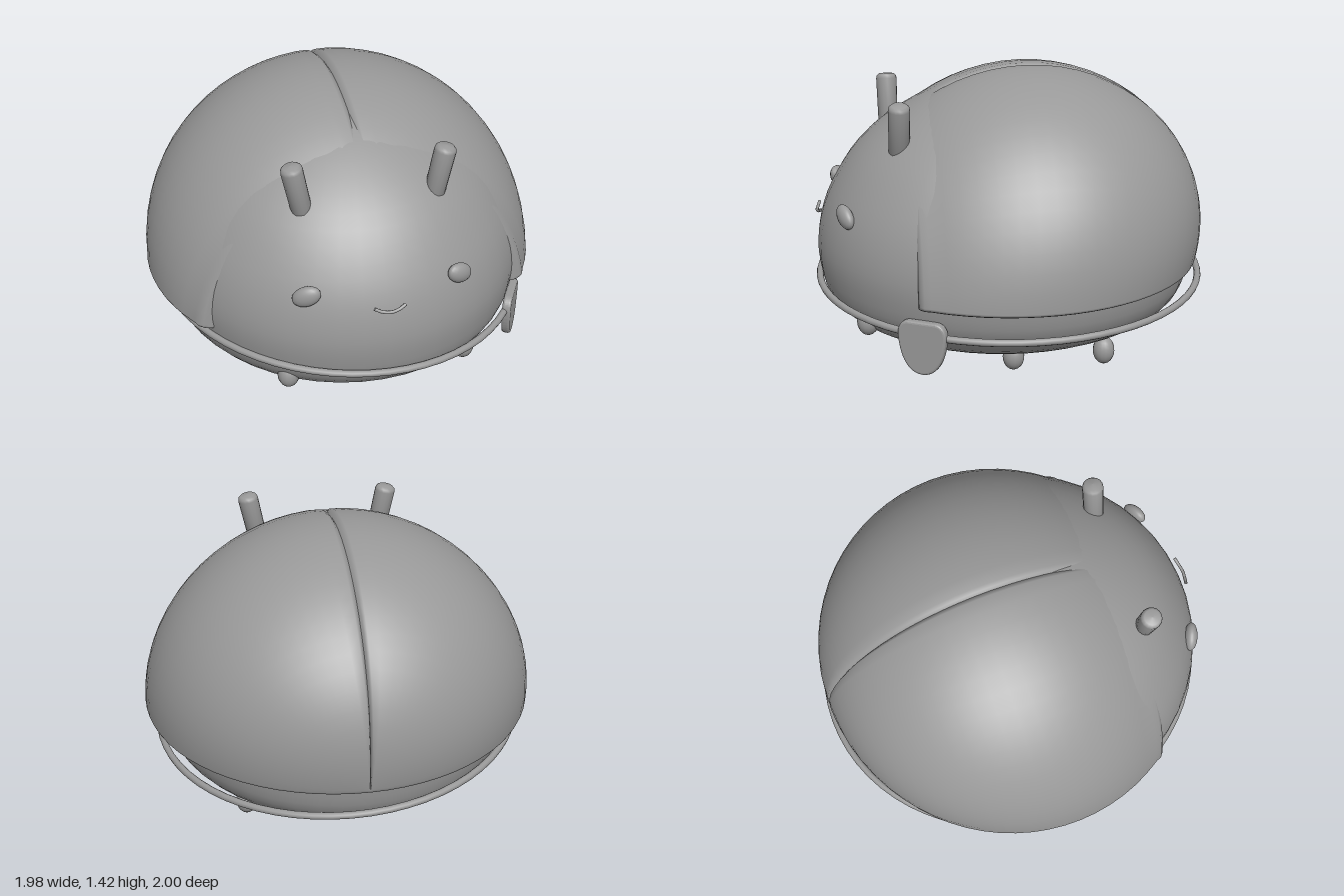
import * as THREE from 'three';

const grey = new THREE.MeshStandardMaterial({ color: 0x999999, side: THREE.DoubleSide });
grey.name = 'grey';

function part(parent, name, geometry, x = 0, y = 0, z = 0) {
  const mesh = new THREE.Mesh(geometry, grey);
  mesh.name = name;
  mesh.position.set(x, y, z);
  parent.add(mesh);
  return mesh;
}

// One wing case: domed quarter-shell leaning back, cut flat at the front and bottom
function wingCaseGeometry() {
  const base = 0.47, frontZ = 0.5, rows = 24;
  const point = (phi, a) => {
    const sy = Math.sin(phi) * Math.cos(a);
    const lean = -0.09 * (1 - Math.pow(1 - Math.max(0, sy), 2.5));
    return [0.99 * Math.sin(phi) * Math.sin(a), 0.96 * sy, 0.96 * Math.cos(phi) + lean];
  };
  // columns: angle from the top seam, scale, drop below the base line
  const columns = [[0, 0.97, 0], [0.012, 0.985, 0], [0.03, 0.997, 0]];
  for (let j = 1; j <= 16; j++) columns.push([j / 16 * Math.PI / 2, 1, 0]);
  columns.push([Math.PI / 2, 0.995, -0.012], [Math.PI / 2, 0.98, -0.02], [Math.PI / 2, 0.85, -0.02]);
  // rounded front rim: scale towards the axis, z
  const rim = [[0.985, 0.53], [0.96, 0.547], [0.93, 0.552], [0.78, 0.552]];
  const positions = [], index = [], n = columns.length;
  for (let i = 0; i <= rows + rim.length; i++) {
    for (const [a, scale, drop] of columns) {
      let lo = 0, hi = Math.PI;
      for (let k = 0; k < 30; k++) {
        const mid = (lo + hi) / 2;
        if (point(mid, a)[2] > frontZ) lo = mid; else hi = mid;
      }
      const t = Math.min(1, i / rows);
      const p = point(Math.PI + (lo - Math.PI) * t, a);
      const [s, z] = i > rows ? rim[i - rows - 1] : [1, null];
      const zScale = p[2] < 0 ? scale : 1;
      positions.push(p[0] * scale * s, base + drop + p[1] * scale * s, z ?? p[2] * zScale);
    }
  }
  for (let i = 0; i < rows + rim.length; i++) {
    for (let j = 0; j < n - 1; j++) {
      const a = i * n + j, b = a + n;
      index.push(a, b, a + 1, b, b + 1, a + 1);
    }
  }
  const geometry = new THREE.BufferGeometry();
  geometry.setAttribute('position', new THREE.Float32BufferAttribute(positions, 3));
  geometry.setIndex(index);
  geometry.computeVertexNormals();
  return geometry;
}

export function createModel() {
  const model = new THREE.Group();
  model.name = 'beetle';

  // Round body with a flattened belly
  const profile = [[0, 0.07], [0.3, 0.072], [0.52, 0.09], [0.7, 0.15], [0.83, 0.22], [0.905, 0.31],
    [0.935, 0.42], [0.945, 0.55], [0.92, 0.7], [0.86, 0.85], [0.75, 1.02], [0.6, 1.16], [0.4, 1.28],
    [0.2, 1.35], [0, 1.37]].map(([r, y]) => new THREE.Vector2(r, y));
  const smooth = new THREE.SplineCurve(profile).getPoints(36);
  smooth.forEach(p => { p.x = Math.max(0, p.x); });
  const body = part(model, 'body', new THREE.LatheGeometry(smooth, 48), 0, 0, 0.025);
  body.scale.set(0.97, 1, 1.013);

  // Paired wing cases, meeting in a groove
  const wing = wingCaseGeometry();
  part(model, 'leftWingCase', wing);
  part(model, 'rightWingCase', wing).scale.x = -1;

  // Tilted collar ring with a hanging tag
  const hoop = new THREE.TorusGeometry(1, 0.018, 10, 64);
  hoop.rotateX(Math.PI / 2);
  hoop.scale(0.925, 1, 0.98);
  part(model, 'collar', hoop, 0, 0.36, 0).rotation.z = -0.057;

  const tagShape = new THREE.Shape();
  tagShape.moveTo(-0.07, 0.12);
  tagShape.lineTo(0.07, 0.12);
  tagShape.quadraticCurveTo(0.115, 0.115, 0.11, 0.05);
  tagShape.bezierCurveTo(0.1, -0.06, 0.06, -0.12, 0, -0.12);
  tagShape.bezierCurveTo(-0.06, -0.12, -0.1, -0.06, -0.11, 0.05);
  tagShape.quadraticCurveTo(-0.115, 0.115, -0.07, 0.12);
  const tagGeometry = new THREE.ExtrudeGeometry(tagShape, {
    depth: 0.02, bevelEnabled: true, bevelThickness: 0.012, bevelSize: 0.012, bevelSegments: 3,
  });
  tagGeometry.translate(0, 0, -0.01);
  part(model, 'tag', tagGeometry, 0.775, 0.255, 0.535).rotation.y = Math.PI / 3;

  // Antenna: rod with a softly rounded tip
  const rod = new THREE.LatheGeometry([[0, -0.125], [0.05, -0.125], [0.053, 0.095], [0.05, 0.11],
    [0.038, 0.121], [0, 0.125]].map(([r, y]) => new THREE.Vector2(r, y)), 16);
  // Leg: stubby drop, rounder at the foot
  const legGeometry = new THREE.SphereGeometry(1, 16, 12);
  legGeometry.scale(0.054, 0.07, 0.054);

  for (const side of [1, -1]) {
    const label = side > 0 ? 'left' : 'right';
    part(model, label + 'Antenna', rod, side * 0.348, 1.205, 0.588).rotation.z = -side * 0.2;

    const eye = part(model, label + 'Eye', new THREE.SphereGeometry(1, 20, 14), side * 0.37, 0.785, 0.858);
    eye.scale.set(0.073, 0.05, 0.034);
    eye.rotation.set(0, side * 0.4, -side * 0.5);

    part(model, label + 'FrontLeg', legGeometry, side * 0.442, 0.272, 0.768);
    part(model, label + 'MiddleLeg', legGeometry, side * 0.525, 0.075, 0.065);
    part(model, label + 'BackLeg', legGeometry, side * 0.525, 0.075, -0.39);
  }

  // Small smiling mouth
  const smile = new THREE.CatmullRomCurve3([[-0.075, 0.735, 0.966], [-0.04, 0.72, 0.976],
    [0, 0.715, 0.982], [0.04, 0.72, 0.976], [0.075, 0.735, 0.966]].map(p => new THREE.Vector3(...p)));
  part(model, 'mouth', new THREE.TubeGeometry(smile, 20, 0.008, 8));

  return model;
}
